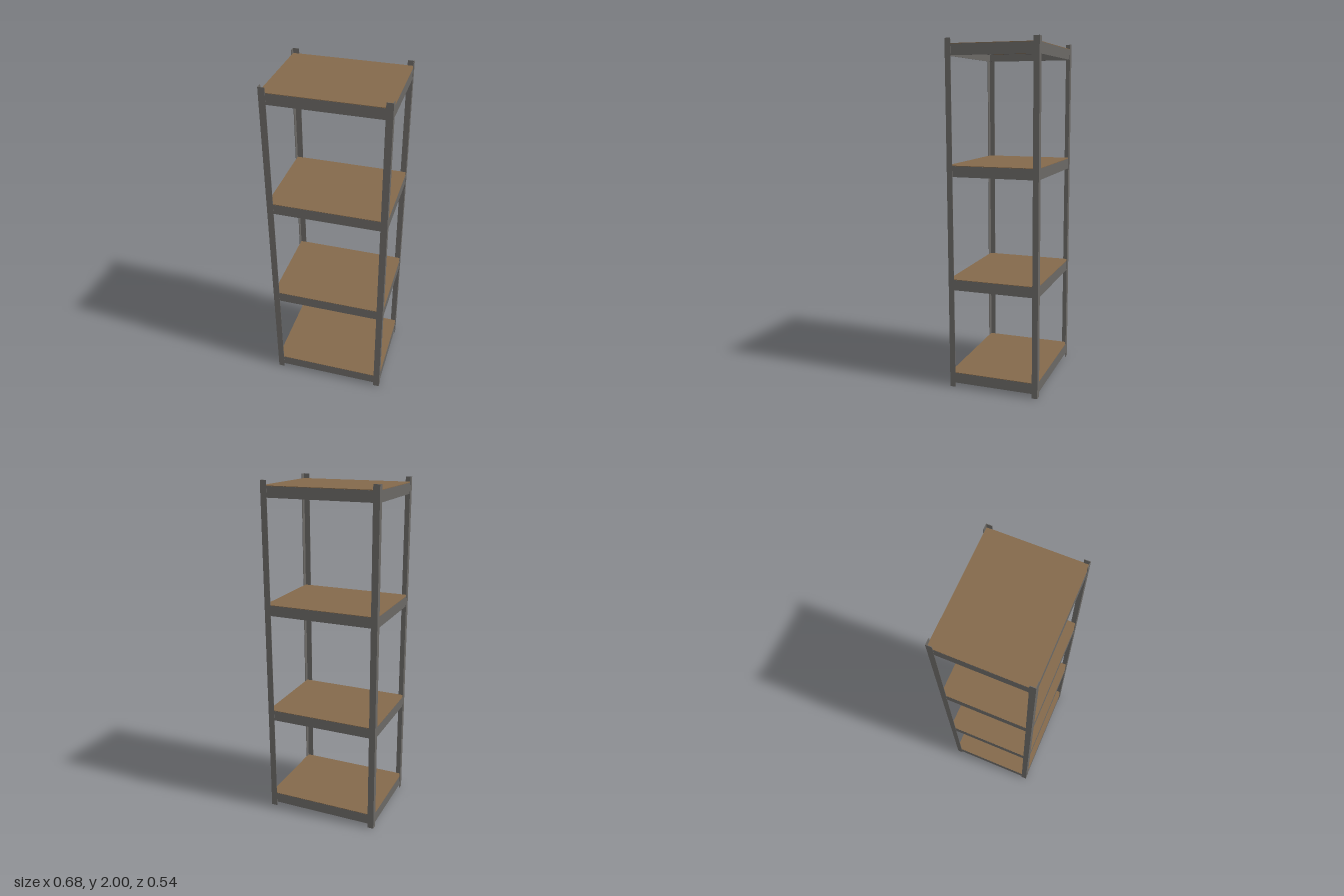
import * as THREE from 'three';

const X = 0.342, Z = 0.268;      // outer half width and depth
const T = 0.003;                 // sheet metal thickness
const BEAM = 0.061, BOARD = 0.02;

export function createModel() {
  const metal = new THREE.MeshStandardMaterial({ color: 0x6a6865 });
  metal.name = 'grey metal';
  const wood = new THREE.MeshStandardMaterial({ color: 0x84694b });
  wood.name = 'brown board';

  const rack = new THREE.Group();
  rack.name = 'shelvingRack';

  const box = (parent, name, size, pos, material) => {
    const mesh = new THREE.Mesh(new THREE.BoxGeometry(...size), material);
    mesh.position.set(...pos);
    mesh.name = name;
    parent.add(mesh);
  };

  // Four upright posts of L-shaped angle, open towards the inside
  const post = (sx, sz) => {
    const w = 0.037, d = 0.033;
    const outline = [[0, 0], [w, 0], [w, T], [T, T], [T, d], [0, d]]
      .map(([x, z]) => new THREE.Vector2(sx * (X - x), -sz * (Z - z)));
    const geometry = new THREE.ExtrudeGeometry(new THREE.Shape(outline), { depth: 2, bevelEnabled: false });
    geometry.rotateX(-Math.PI / 2);
    const mesh = new THREE.Mesh(geometry, metal);
    mesh.name = `${sz > 0 ? 'front' : 'back'}${sx > 0 ? 'Left' : 'Right'}Post`;
    rack.add(mesh);
  };
  for (const sx of [-1, 1]) for (const sz of [-1, 1]) post(sx, sz);

  // Shelves: a board resting on the inner ledges of four beams
  const bx = X - T / 2, bz = Z - T / 2;
  [0.09, 0.655, 1.31, 1.972].forEach((top, i) => {
    const shelf = new THREE.Group();
    shelf.name = `shelf${i + 1}`;
    rack.add(shelf);

    const beamY = top - 0.003 - BEAM / 2;
    const ledgeY = top - BOARD - T / 2;
    const ledge = 0.012;
    for (const s of [-1, 1]) {
      const side = s > 0 ? 'Left' : 'Right', end = s > 0 ? 'front' : 'back';
      box(shelf, `${end}Beam`, [2 * bx, BEAM, T], [0, beamY, s * (bz - T / 2)], metal);
      box(shelf, `${end}Ledge`, [2 * (bx - T), T, ledge], [0, ledgeY, s * (bz - T - ledge / 2)], metal);
      box(shelf, `side${side}Beam`, [T, BEAM, 2 * (bz - T)], [s * (bx - T / 2), beamY, 0], metal);
      box(shelf, `side${side}Ledge`, [ledge, T, 2 * (bz - T - ledge)], [s * (bx - T - ledge / 2), ledgeY, 0], metal);
    }
    box(shelf, 'board', [2 * (bx - T), BOARD, 2 * (bz - T)], [0, top - BOARD / 2, 0], wood);
    // Thin top sheet covering the beam edges
    box(shelf, 'boardTop', [2 * bx - 0.001, 0.003, 2 * bz - 0.001], [0, top - 0.0014, 0], wood);
  });

  return rack;
}
